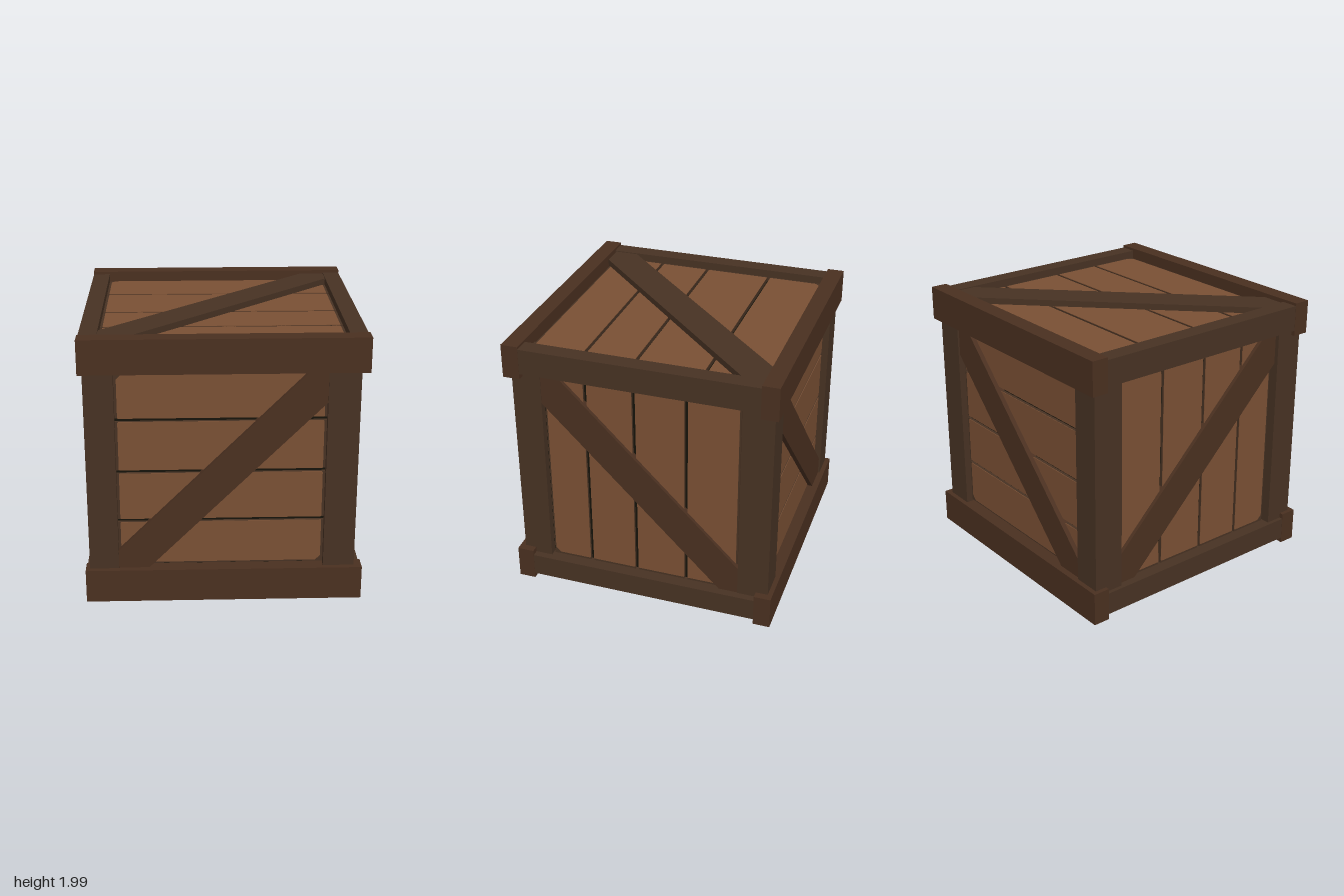
import * as THREE from 'three';

const mat = (name, color) => {
  const m = new THREE.MeshStandardMaterial({ color });
  m.name = name;
  return m;
};

export function createModel() {
  const beamWood = mat('beam wood', 0x4a3020);
  const postWood = mat('post wood', 0x473223);
  const boardWood = mat('board wood', 0x7a5034);
  const seamDark = mat('dark seam', 0x15130a);
  const MID = 0.995; // height of the crate's centre

  const crate = new THREE.Group();
  crate.name = 'crate';

  // Box given by its limits on each axis
  const box = (parent, name, m, [x0, x1], [y0, y1], [z0, z1]) => {
    const mesh = new THREE.Mesh(new THREE.BoxGeometry(x1 - x0, y1 - y0, z1 - z0), m);
    mesh.position.set((x0 + x1) / 2, (y0 + y1) / 2, (z0 + z1) / 2);
    mesh.name = name;
    parent.add(mesh);
  };
  const plate = (parent, name, m, points, z0, z1) => {
    const shape = new THREE.Shape(points.map(([x, y]) => new THREE.Vector2(x, y)));
    const geo = new THREE.ExtrudeGeometry(shape, { depth: z1 - z0, bevelEnabled: false });
    const mesh = new THREE.Mesh(geo, m);
    mesh.position.z = z0;
    mesh.name = name;
    parent.add(mesh);
  };

  // Dark core that shows through the gaps between boards
  box(crate, 'core', seamDark, [-0.885, 0.885], [MID - 0.885, MID + 0.885], [-0.885, 0.885]);

  // Front and back beams, top and bottom
  for (const z of [[0.87, 0.995], [-0.995, -0.87]])
    for (const y of [[0, 0.25], [1.74, 1.99]]) box(crate, 'longBeam', beamWood, [-1, 1], y, z);

  // Side rails between the beams
  for (const x of [[0.87, 0.998], [-0.998, -0.87]])
    for (const y of [[0.04, 0.21], [1.78, 1.97]]) box(crate, 'sideRail', postWood, x, y, [-0.872, 0.872]);

  // Corner posts
  for (const x of [[-0.97, -0.76], [0.72, 0.945]])
    for (const z of [[0.74, 0.955], [-0.96, -0.73]]) box(crate, 'cornerPost', postWood, x, [0.1, 1.9], z);

  // One face: boards with worn ends, and a diagonal brace.
  // u, v: limits in the face plane; slope: brace direction; c: brace offset
  function addPanel({ name, rot, u, v, seams, upright, slope, c, face, brace, braceMat }) {
    const panel = new THREE.Group();
    panel.name = name;
    panel.position.y = MID;
    panel.rotation.set(...rot);
    crate.add(panel);

    const [along, across] = upright ? [v, u] : [u, v];
    const cuts = [across[0], ...[...seams].sort((a, b) => a - b), across[1]];
    for (let i = 0; i < cuts.length - 1; i++) {
      const first = i === 0, last = i === cuts.length - 2;
      const lo = cuts[i] + 0.013, hi = cuts[i + 1] - 0.013;
      const a = [along[0] - 0.01, along[1] + 0.01], b = [lo, hi];
      box(panel, 'board', postWood, upright ? b : a, upright ? a : b, [face - 0.05, face - 0.004]);

      // Lighter face, with corners worn away at the panel's outer edge
      const s = along[0] + 0.018, e = along[1] - 0.018;
      const p = lo + (first ? 0.012 : 0), q = hi - (last ? 0.012 : 0);
      const kl = first ? 0.035 : 0.006, kh = last ? 0.035 : 0.006;
      let pts = [[s + kl, p], [e - kl, p], [e, p + kl], [e, q - kh], [e - kh, q], [s + kh, q], [s, q - kh], [s, p + kl]];
      if (upright) pts = pts.map(([x, y]) => [y, x]);
      plate(panel, 'boardFace', boardWood, pts, face - 0.005, face);
    }

    // Brace clipped to the opening, mirrored for a falling slope
    const [L, R] = slope > 0 ? u : [-u[1], -u[0]];
    const [B, T] = v;
    const h = 0.178;
    const strip = [[L, B], [B - c + h, B], [R, R + c - h], [R, T], [T - c - h, T], [L, L + c + h]];
    plate(panel, 'diagonalBrace', braceMat, strip.map(([x, y]) => [x * slope, y]), face - 0.03, brace);
  }

  const H = Math.PI / 2;
  const wall = { v: [-0.745, 0.745], seams: [0.385, -0.005, -0.385], c: -0.027, face: 0.912, brace: 0.947, braceMat: beamWood };
  addPanel({ ...wall, name: 'frontPanel', rot: [0, 0, 0], u: [-0.76, 0.72], slope: 1 });
  addPanel({ ...wall, name: 'backPanel', rot: [0, 2 * H, 0], u: [-0.72, 0.76], slope: -1 });

  const side = { v: [-0.785, 0.785], upright: true, c: -0.02, face: 0.912, brace: 0.94, braceMat: beamWood };
  addPanel({ ...side, name: 'leftPanel', rot: [0, H, 0], u: [-0.74, 0.73], seams: [-0.42, -0.06, 0.325], slope: -1 });
  addPanel({ ...side, name: 'rightPanel', rot: [0, -H, 0], u: [-0.73, 0.74], seams: [0.42, 0.06, -0.325], slope: 1 });

  const lid = { u: [-0.87, 0.87], face: 0.922, brace: 0.968, braceMat: postWood };
  addPanel({ ...lid, name: 'topPanel', rot: [-H, 0, 0], v: [-0.86, 0.87], seams: [0.43, -0.075, -0.455], slope: 1, c: 0.01 });
  addPanel({ ...lid, name: 'bottomPanel', rot: [H, 0, 0], v: [-0.87, 0.86], seams: [-0.43, 0.075, 0.455], slope: -1, c: -0.01 });

  return crate;
}
